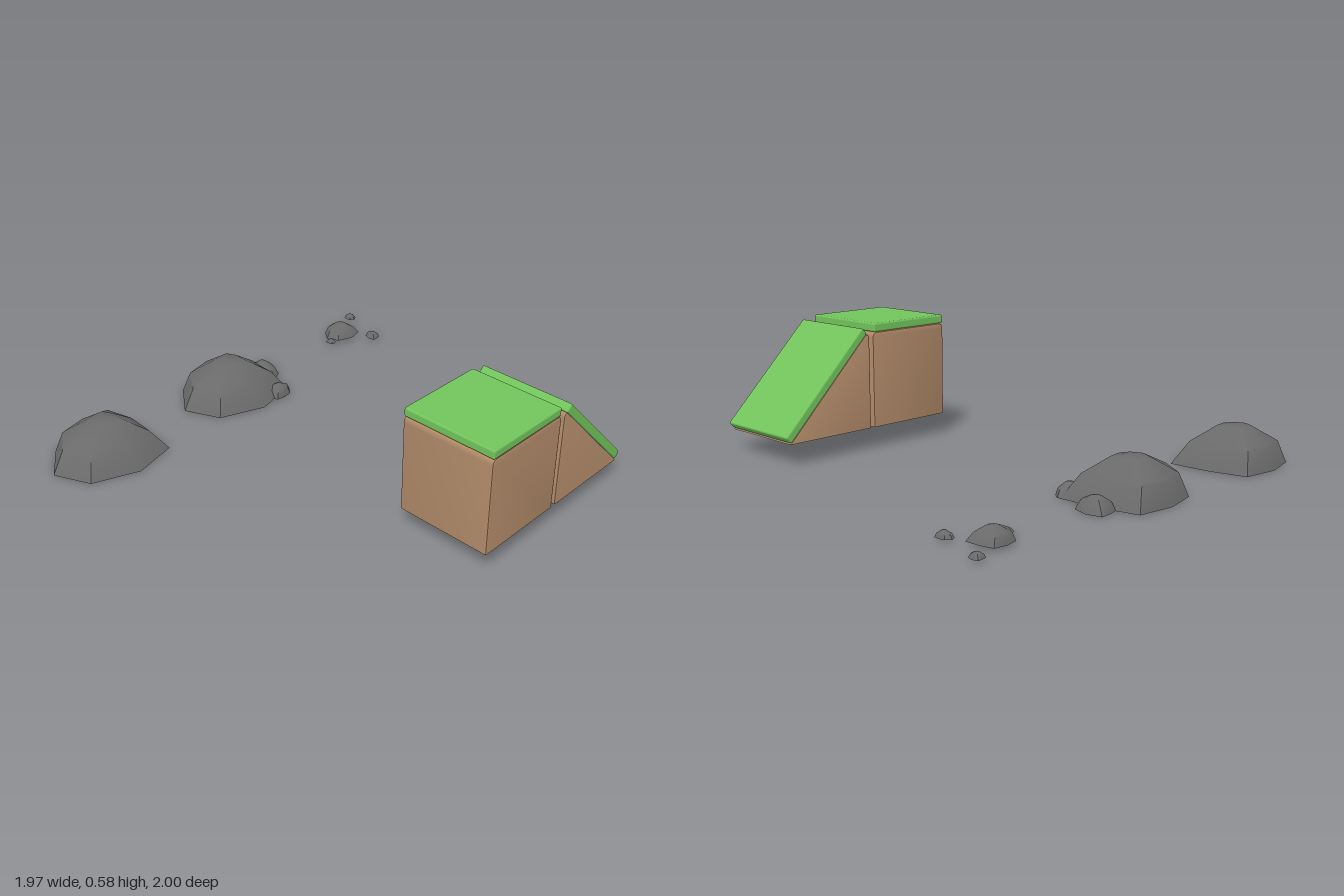
import * as THREE from 'three';
import { toCreasedNormals } from 'three/addons/utils/BufferGeometryUtils.js';
import { RoundedBoxGeometry } from 'three/addons/geometries/RoundedBoxGeometry.js';

const stone = new THREE.MeshStandardMaterial({ color: 0x6a6a6a });
const earth = new THREE.MeshStandardMaterial({ color: 0xae8867 });
const grass = new THREE.MeshStandardMaterial({ color: 0x72c45c });

// Boulder outlines (x, z) at three heights, from the ground to the small flat top
const ROCK_RINGS = [
  { y: 0, pts: [[-0.195, -0.2], [-0.035, -0.235], [0.165, -0.245], [0.22, -0.04], [0.14, 0.17], [-0.03, 0.245], [-0.185, 0.13], [-0.22, -0.03]] },
  { y: 0.1, pts: [[-0.165, -0.155], [-0.03, -0.19], [0.115, -0.18], [0.15, -0.03], [0.1, 0.125], [-0.03, 0.185], [-0.155, 0.1], [-0.185, -0.03]] },
  { y: 0.17, pts: [[-0.075, -0.07], [-0.03, -0.092], [0.035, -0.09], [0.04, -0.035], [0.02, 0.01], [-0.03, 0.03], [-0.07, 0.01], [-0.08, -0.03]] },
];

// Skins the rings and closes both ends
function rockGeometry() {
  const n = ROCK_RINGS[0].pts.length;
  const last = ROCK_RINGS.length - 1;
  const pos = [];
  const index = [];
  for (const { y, pts } of ROCK_RINGS) for (const [x, z] of pts) pos.push(x, y, z);
  pos.push(0, 0, 0, -0.02, 0.172, -0.035);
  const bottom = n * (last + 1);
  for (let i = 0; i < n; i++) {
    const k = (i + 1) % n;
    for (let r = 0; r < last; r++) {
      const a = r * n + i, b = r * n + k;
      index.push(a, a + n, b, b, a + n, b + n);
    }
    index.push(bottom, i, k, bottom + 1, last * n + k, last * n + i);
  }
  const g = new THREE.BufferGeometry();
  g.setAttribute('position', new THREE.Float32BufferAttribute(pos, 3));
  g.setIndex(index);
  return toCreasedNormals(g, 0.65);
}

// Side profile in (z, y) extruded across x, with softened sides and a flat underside
function earthGeometry(shape, width, baseY) {
  const bevel = 0.01;
  const g = new THREE.ExtrudeGeometry(shape, {
    depth: width - 2 * bevel, bevelEnabled: true, bevelSize: bevel, bevelThickness: bevel,
    bevelOffset: -bevel, bevelSegments: 2, curveSegments: 4,
  });
  g.rotateY(-Math.PI / 2);
  g.translate(width / 2 - bevel, 0, 0);
  const p = g.attributes.position;
  for (let i = 0; i < p.count; i++) if (p.getY(i) < baseY + bevel * 1.1) p.setY(i, baseY);
  return toCreasedNormals(g, 0.6);
}

export function createModel() {
  const model = new THREE.Group();
  const add = (parent, name, geometry, material, x, y, z) => {
    const mesh = new THREE.Mesh(geometry, material);
    mesh.name = name;
    mesh.position.set(x, y, z);
    parent.add(mesh);
    return mesh;
  };
  const group = (name) => {
    const g = new THREE.Group();
    g.name = name;
    model.add(g);
    return g;
  };

  // Rocks: centre x, base y, centre z, then width, depth, height and quarter turns
  const rockGeo = rockGeometry();
  const rock = (parent, name, x, y, z, w, d, h, turns = 0) => {
    const mesh = add(parent, name, rockGeo, stone, x, y, z);
    const [sx, sz] = turns % 2 ? [d, w] : [w, d];
    mesh.scale.set(sx / 0.44, h / 0.172, sz / 0.49);
    mesh.rotation.y = turns * Math.PI / 2;
  };
  const single = group('singleRock');
  rock(single, 'boulder', -0.765, 0, 0.75, 0.44, 0.49, 0.172);

  const cluster = group('rockCluster');
  rock(cluster, 'boulder', -0.765, 0, 0.01, 0.44, 0.49, 0.172);
  rock(cluster, 'backStone', -0.79, 0, -0.262, 0.165, 0.125, 0.06, 1);
  rock(cluster, 'sideStone', -0.595, 0, -0.175, 0.1, 0.125, 0.055, 2);

  const pebbles = group('pebbles');
  rock(pebbles, 'largePebble', -0.787, 0.012, -0.8, 0.152, 0.17, 0.058);
  rock(pebbles, 'backPebble', -0.873, 0.012, -0.975, 0.06, 0.052, 0.022, 1);
  rock(pebbles, 'sidePebble', -0.648, 0.012, -0.9, 0.075, 0.06, 0.027, 3);
  rock(pebbles, 'frontPebble', -0.758, 0.012, -0.707, 0.05, 0.045, 0.017, 2);

  // Square earth block with a grass slab on top
  const X = 0.76, W = 0.44, baseY = 0.1;
  const block = group('grassBlock');
  const square = new THREE.Shape();
  square.moveTo(-0.22, baseY);
  square.lineTo(0.216, baseY);
  square.lineTo(0.216, 0.515);
  square.quadraticCurveTo(0.216, 0.54, 0.191, 0.54);
  square.lineTo(-0.195, 0.54);
  square.quadraticCurveTo(-0.22, 0.54, -0.22, 0.515);
  square.closePath();
  add(block, 'earthBlock', earthGeometry(square, W, baseY), earth, X, 0, 0);
  add(block, 'grassTop', new RoundedBoxGeometry(W, 0.04, 0.425, 2, 0.008), grass, X, 0.56, 0);

  // Earth ramp falling to the back, with a grass slab on the slope
  const ramp = group('grassRamp');
  const wedge = new THREE.Shape();
  wedge.moveTo(-0.238, baseY);
  wedge.lineTo(-0.238, 0.52);
  wedge.quadraticCurveTo(-0.24, 0.538, -0.262, 0.532);
  wedge.lineTo(-0.692, baseY);
  wedge.closePath();
  add(ramp, 'earthRamp', earthGeometry(wedge, W, baseY), earth, X, 0, 0);
  const slope = add(ramp, 'grassSlope', new RoundedBoxGeometry(W, 0.04, 0.615, 2, 0.008), grass, X, 0.335, -0.484);
  slope.rotation.x = -Math.PI / 4;

  return model;
}
